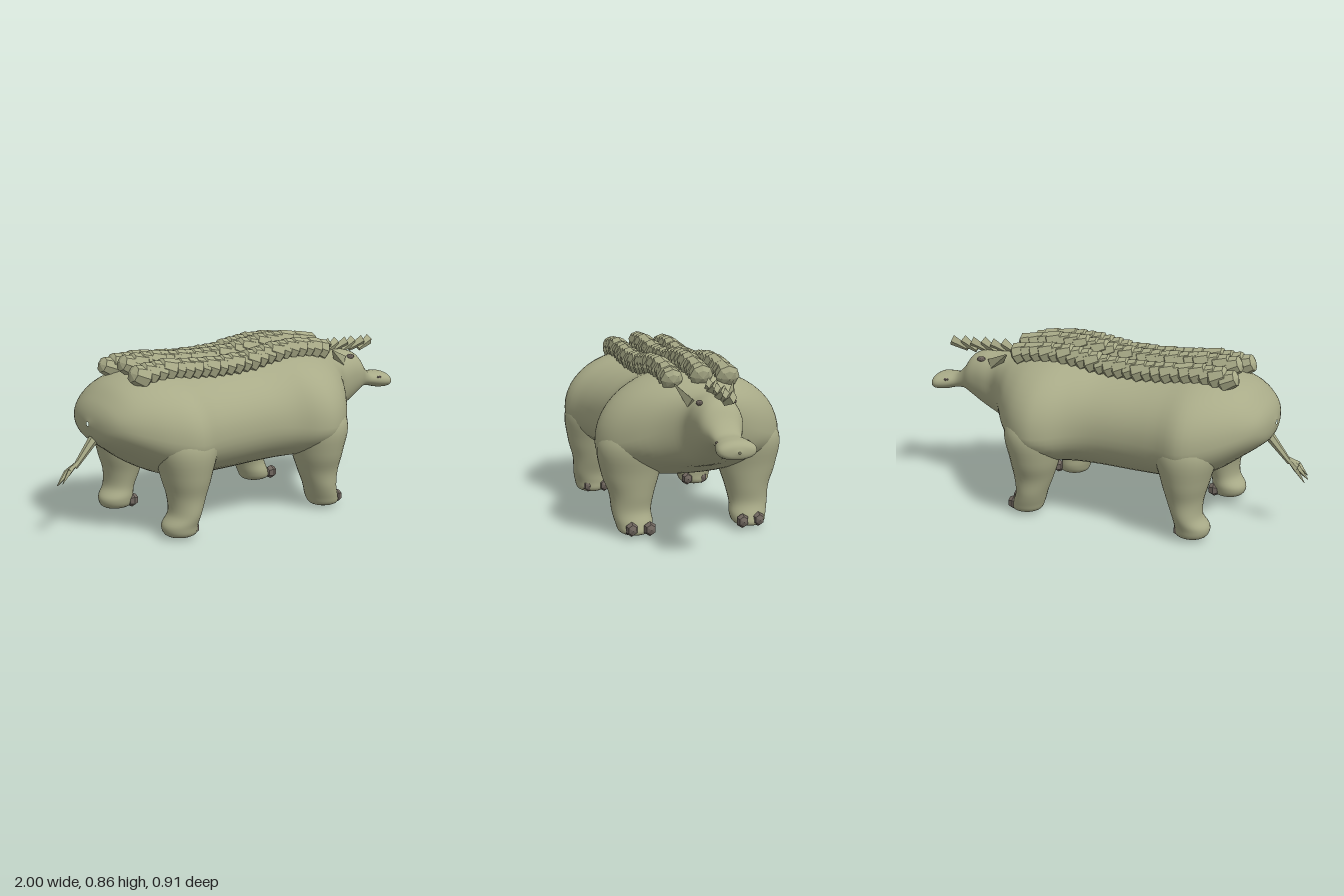
import * as THREE from 'three';

const hide = new THREE.MeshStandardMaterial({ color: 0xa9ab88 });
hide.name = 'olive hide';
const scaleMat = new THREE.MeshStandardMaterial({ color: 0xa9ab88, flatShading: true });
scaleMat.name = 'olive scales';
const clawMat = new THREE.MeshStandardMaterial({ color: 0x70675f, flatShading: true });
clawMat.name = 'dark horn';

const V = (x, y, z) => new THREE.Vector3(x, y, z);

// Skin closed rings of points; rings turn right-handed about the path
function loft(rings) {
  const n = rings[0].length, pos = [], idx = [];
  rings.forEach((r) => r.forEach((p) => pos.push(p.x, p.y, p.z)));
  for (let i = 0; i < rings.length - 1; i++) {
    for (let j = 0; j < n; j++) {
      const a = i * n + j, b = i * n + (j + 1) % n;
      idx.push(a, b, a + n, b, b + n, a + n);
    }
  }
  const g = new THREE.BufferGeometry();
  g.setAttribute('position', new THREE.Float32BufferAttribute(pos, 3));
  g.setIndex(idx);
  g.computeVertexNormals();
  return g;
}

const smooth = (pts) => new THREE.CatmullRomCurve3(pts, false, 'catmullrom', 0.5);

// Body stations: x, top, widest height, bottom, half width
const stations = [
  [-0.832, 0.54, 0.53, 0.52, 0.01], [-0.815, 0.595, 0.53, 0.46, 0.13],
  [-0.78, 0.645, 0.53, 0.425, 0.215], [-0.71, 0.705, 0.51, 0.375, 0.295],
  [-0.6, 0.742, 0.48, 0.3, 0.38], [-0.48, 0.75, 0.46, 0.25, 0.43],
  [-0.35, 0.738, 0.46, 0.235, 0.39], [-0.2, 0.73, 0.46, 0.228, 0.36],
  [-0.02, 0.735, 0.46, 0.232, 0.35], [0.1, 0.757, 0.45, 0.24, 0.375],
  [0.2, 0.768, 0.44, 0.25, 0.435], [0.28, 0.768, 0.44, 0.265, 0.452],
  [0.37, 0.76, 0.45, 0.295, 0.415], [0.46, 0.742, 0.48, 0.335, 0.325],
  [0.54, 0.725, 0.53, 0.36, 0.21], [0.61, 0.718, 0.57, 0.385, 0.135],
  [0.69, 0.715, 0.59, 0.425, 0.117], [0.76, 0.69, 0.585, 0.47, 0.102],
  [0.81, 0.625, 0.56, 0.5, 0.078], [0.86, 0.58, 0.54, 0.502, 0.068],
  [0.92, 0.573, 0.53, 0.488, 0.084], [0.965, 0.568, 0.525, 0.485, 0.09],
  [0.99, 0.552, 0.522, 0.493, 0.068], [1.0, 0.526, 0.521, 0.516, 0.006],
];
const upper = smooth(stations.map((s) => V(s[0], s[1], s[4])));
const lower = smooth(stations.map((s) => V(s[0], s[2], s[3])));

function bodyGeometry() {
  const rings = [], steps = (stations.length - 1) * 4, n = 48;
  for (let i = 0; i <= steps; i++) {
    const u = upper.getPoint(i / steps), l = lower.getPoint(i / steps), ring = [];
    for (let j = 0; j < n; j++) {
      const a = (j / n) * Math.PI * 2, c = Math.cos(a), s = Math.sin(a);
      const fat = (v) => Math.sign(v) * Math.pow(Math.abs(v), 0.94);
      const h = c > 0 ? u.y - l.y : l.y - l.z;
      ring.push(V(u.x, l.y + h * fat(c), u.z * fat(s)));
    }
    rings.push(ring);
  }
  return loft(rings);
}

// Leg stations: y, back x, front x, inner z, outer z
const frontLeg = [
  [0.6, 0.22, 0.38, 0.17, 0.33], [0.45, 0.16, 0.44, 0.13, 0.446], [0.3, 0.175, 0.415, 0.15, 0.432],
  [0.2, 0.205, 0.4, 0.18, 0.397], [0.12, 0.235, 0.39, 0.198, 0.388], [0.06, 0.255, 0.41, 0.195, 0.374],
  [0.02, 0.275, 0.415, 0.215, 0.355], [0.0, 0.335, 0.355, 0.28, 0.29],
];
const backLeg = [
  [0.6, -0.56, -0.4, 0.17, 0.33], [0.45, -0.63, -0.33, 0.13, 0.425], [0.3, -0.6, -0.365, 0.15, 0.415],
  [0.2, -0.572, -0.395, 0.18, 0.39], [0.12, -0.57, -0.425, 0.198, 0.385], [0.065, -0.605, -0.435, 0.195, 0.372],
  [0.02, -0.59, -0.445, 0.215, 0.355], [0.0, -0.53, -0.51, 0.28, 0.29],
];

function legGeometry(rows, side) {
  const centre = smooth(rows.map((r) => V((r[1] + r[2]) / 2, r[0], (r[3] + r[4]) / 2)));
  const size = smooth(rows.map((r) => V((r[2] - r[1]) / 2, 0, (r[4] - r[3]) / 2)));
  const rings = [], steps = 35, n = 28;
  for (let i = 0; i <= steps; i++) {
    const c = centre.getPoint(i / steps), r = size.getPoint(i / steps), ring = [];
    for (let j = 0; j < n; j++) {
      const a = (j / n) * Math.PI * 2;
      ring.push(V(c.x + r.x * Math.cos(a), Math.max(0, c.y), side * c.z + r.z * Math.sin(a)));
    }
    rings.push(ring);
  }
  return loft(rings);
}

// Height of the back at a given x
function backHeight(x) {
  const i = Math.max(1, stations.findIndex((s) => s[0] > x));
  const a = stations[i - 1], b = stations[i];
  return a[1] + (b[1] - a[1]) * (x - a[0]) / (b[0] - a[0]);
}

export function createModel() {
  const model = new THREE.Group();
  model.name = 'platedAnimal';
  const add = (name, geo, mat, parent = model) => {
    const m = new THREE.Mesh(geo, mat);
    m.name = name;
    parent.add(m);
    return m;
  };
  // Tapered spike running between two points, flattened in its local z
  const spike = (name, from, to, r0, r1, sides, flat = 1, mat = scaleMat) => {
    const m = add(name, new THREE.CylinderGeometry(r1, r0, from.distanceTo(to), sides), mat);
    m.position.copy(from).lerp(to, 0.5);
    m.quaternion.setFromUnitVectors(V(0, 1, 0), to.clone().sub(from).normalize());
    m.scale.z = flat;
    return m;
  };

  add('body', bodyGeometry(), hide);

  // Three rows of overlapping scales along the back
  const profile = [[0.001, -0.06], [0.04, -0.045], [0.048, -0.01], [0.055, 0.022], [0.036, 0.04], [0.001, 0.05]];
  const scaleGeo = new THREE.LatheGeometry(profile.map((p) => new THREE.Vector2(...p)), 8);
  for (const row of [-1, 0, 1]) {
    const count = 23, x0 = row ? -0.625 : -0.6, x1 = row ? 0.435 : 0.455;
    for (let i = 0; i < count; i++) {
      const x = x0 + (x1 - x0) * i / (count - 1);
      const wob = 1 + 0.05 * Math.sin(i * 2.4 + row);
      const m = add('backScale', scaleGeo, scaleMat);
      m.position.set(x, backHeight(x) + (row ? 0.016 : 0.034), row * 0.135);
      m.rotation.z = -Math.PI / 2 - 0.38;
      m.scale.set(wob, 1, wob);
    }
  }

  // Crest of blades on the neck and head
  for (let i = 0; i < 6; i++) {
    const x = 0.525 + i * 0.057, y = 0.715 - i * 0.002, z = (i % 2 ? 1 : -1) * 0.006;
    spike('crestBlade', V(x, y, z), V(x + 0.085, y + 0.04, -z), 0.014, 0.03, 4, 0.6);
  }

  for (const s of [-1, 1]) {
    // Legs with two front claws each
    for (const [name, rows, cx] of [['frontLeg', frontLeg, 0.415], ['backLeg', backLeg, -0.457]]) {
      add(name, legGeometry(rows, s), hide);
      for (const cz of [0.23, 0.315]) {
        const claw = add('claw', new THREE.SphereGeometry(0.038, 6, 4), clawMat);
        claw.rotation.z = -Math.PI / 2;
        claw.scale.set(0.95, 0.85, 0.85);
        claw.position.set(cx - (cz > 0.3 ? 0.012 : 0), 0.045, s * cz);
      }
    }
    // Ears, eyes and nostrils
    spike('ear', V(0.615, 0.665, s * 0.09), V(0.515, 0.745, s * 0.142), 0.042, 0.004, 4, 0.6);
    const eye = add('eye', new THREE.IcosahedronGeometry(0.021, 1), clawMat);
    eye.position.set(0.69, 0.686, s * 0.079);
    eye.scale.set(1.15, 0.65, 0.7);
    const nostril = add('nostril', new THREE.IcosahedronGeometry(0.014, 0), clawMat);
    nostril.position.set(0.905, 0.549, s * 0.07);
    nostril.scale.set(1.2, 0.6, 0.6);
  }

  // Tail with a tuft of three blades
  spike('tail', V(-0.785, 0.475, 0), V(-0.905, 0.335, 0), 0.026, 0.012, 6);
  for (const s of [-1, 0, 1]) {
    const mid = V(-0.94, 0.318 + s * 0.008, s * 0.014);
    spike('tailTuft', V(-0.88, 0.365, 0), mid, 0.006, 0.017, 4, 0.7);
    spike('tailTuftTip', mid, V(-0.995 + Math.abs(s) * 0.01, 0.265 + s * 0.01, s * 0.026), 0.017, 0.002, 4, 0.7);
  }

  return model;
}
